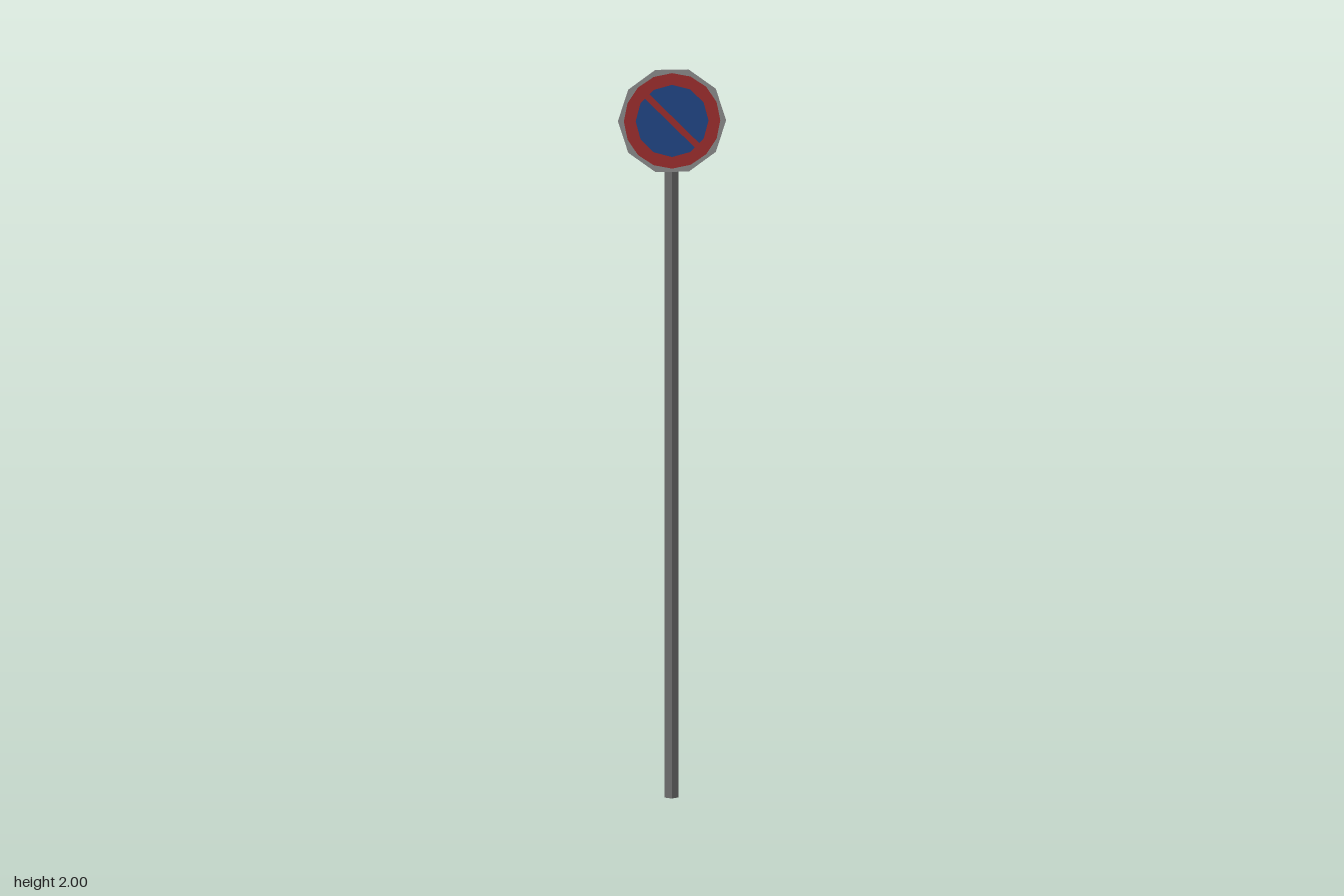
import * as THREE from 'three';

export function createModel() {
  const material = (name, color) => {
    const m = new THREE.MeshStandardMaterial({ color, flatShading: true });
    m.name = name;
    return m;
  };
  const poleGrey = material('pole grey', 0x6c6c6c);
  const plateGrey = material('plate grey', 0x929292);
  const red = material('sign red', 0xa43030);
  const blue = material('sign blue', 0x234a8c);

  const group = new THREE.Group();
  const add = (name, geometry, mat, x, y, z) => {
    const mesh = new THREE.Mesh(geometry, mat);
    mesh.name = name;
    mesh.position.set(x, y, z);
    group.add(mesh);
    return mesh;
  };

  // Square pole, corner facing forward
  const poleHeight = 1.975;
  add('pole', new THREE.CylinderGeometry(0.0185, 0.0185, poleHeight, 4), poleGrey, 0, poleHeight / 2, -0.003);

  // Ten-sided sign plate with a corner at each side
  const signY = 1.86;
  const plate = new THREE.CylinderGeometry(0.147, 0.147, 0.005, 10);
  plate.rotateY(Math.PI / 2).rotateX(Math.PI / 2);
  add('signPlate', plate, plateGrey, 0, signY, 0.0155);

  // Painted face: red disc, blue centre, red diagonal bar
  add('redBorder', new THREE.CircleGeometry(0.131, 16), red, 0, signY, 0.0185);
  add('blueCentre', new THREE.CircleGeometry(0.099, 12), blue, 0, signY, 0.019);
  const bar = add('diagonalBar', new THREE.PlaneGeometry(0.196, 0.017), red, 0, signY, 0.0195);
  bar.rotation.z = -Math.PI / 4;

  return group;
}
